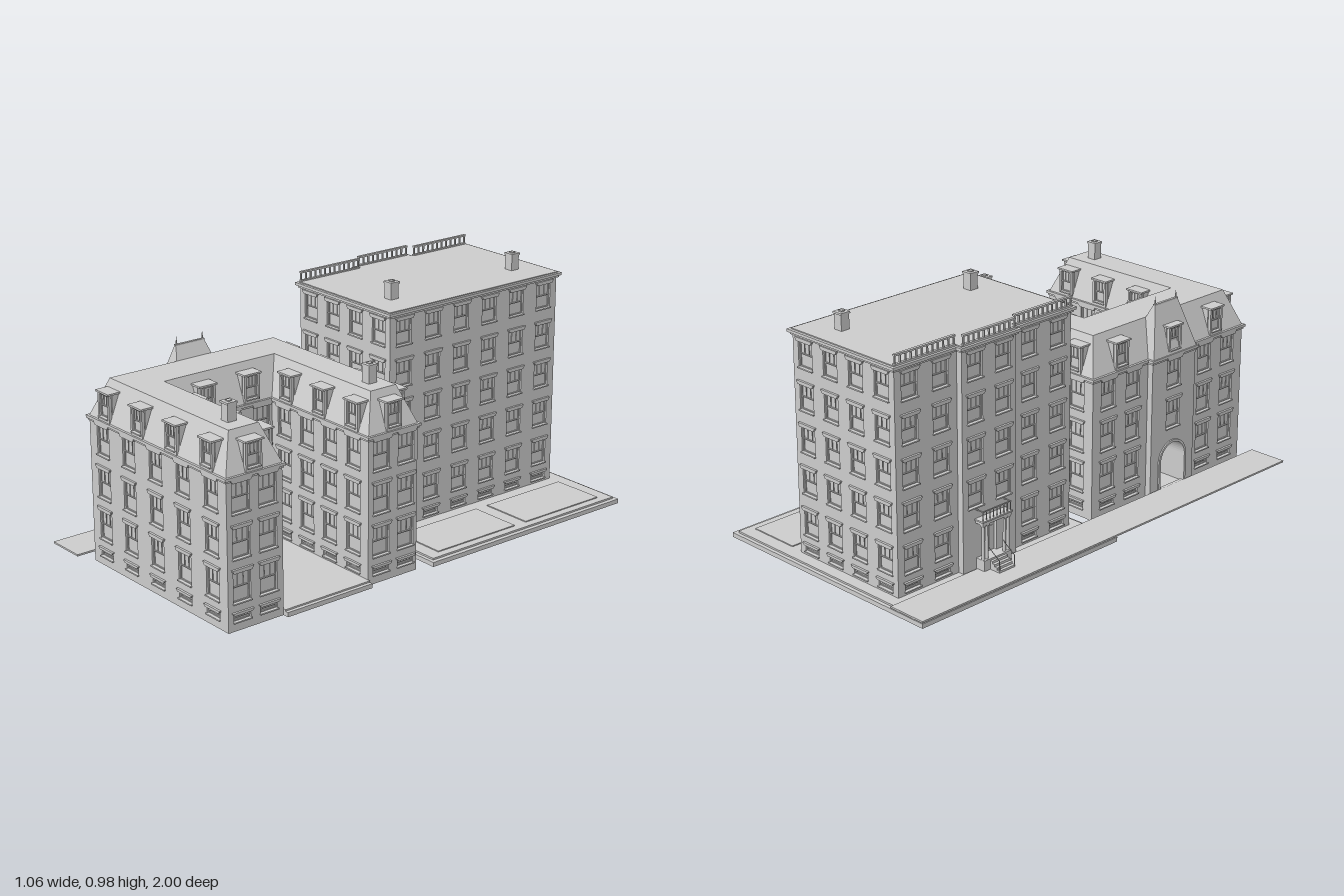
import * as THREE from 'three';
import { mergeGeometries } from 'three/addons/utils/BufferGeometryUtils.js';

const material = new THREE.MeshStandardMaterial({ color: 0xcccccc, side: THREE.DoubleSide });
const T = 0.012; // wall thickness, also the depth of window recesses

function add(parent, name, geometry) {
  const mesh = new THREE.Mesh(geometry, material);
  mesh.name = name;
  parent.add(mesh);
  return mesh;
}
const boxGeo = (x0, x1, y0, y1, z0, z1) =>
  new THREE.BoxGeometry(x1 - x0, y1 - y0, z1 - z0).translate((x0 + x1) / 2, (y0 + y1) / 2, (z0 + z1) / 2);
const box = (parent, name, ...b) => add(parent, name, boxGeo(...b));
const extrude = (shape, depth) =>
  new THREE.ExtrudeGeometry(shape, { depth, bevelEnabled: false, curveSegments: 12 });
const polygon = pts => new THREE.Shape(pts.map(p => new THREE.Vector2(...p)));
const rect = (x0, x1, y0, y1) => [[x0, y0], [x1, y0], [x1, y1], [x0, y1]];

// Plan loops are lists of [x, z]; the outside lies at (-dz, dx) of each edge.
function offset(loop, d) {
  const normal = i => {
    const [a, b] = [loop[i], loop[(i + 1) % loop.length]];
    return [-Math.sign(b[1] - a[1]), Math.sign(b[0] - a[0])];
  };
  return loop.map(([x, z], i) => {
    const n = normal((i + loop.length - 1) % loop.length), m = normal(i);
    return [x + d * (n[0] + m[0]), z + d * (n[1] + m[1])];
  });
}
const slab = (parent, name, loop, y0, y1) =>
  add(parent, name, extrude(polygon(loop.map(([x, z]) => [x, -z])), y1 - y0).rotateX(-Math.PI / 2).translate(0, y0, 0));

// Sloping roof sides between two plan loops
function slopes(parent, name, low, y0, high, y1) {
  const v = [];
  low.forEach((a, i) => {
    const j = (i + 1) % low.length, b = low[j], c = high[j], d = high[i];
    v.push(a[0], y0, a[1], b[0], y0, b[1], c[0], y1, c[1], a[0], y0, a[1], c[0], y1, c[1], d[0], y1, d[1]);
  });
  const g = new THREE.BufferGeometry();
  g.setAttribute('position', new THREE.Float32BufferAttribute(v, 3));
  g.computeVertexNormals();
  add(parent, name, g);
}

// Sash window with sill and flared lintel; origin at the bottom centre of its opening
const windowCache = {};
function windowGeo(w, h, lintel = true) {
  const key = [w, h, lintel].join();
  if (windowCache[key]) return windowCache[key];
  const s = w / 2, f = 0.004, m = h * 0.5;
  const parts = [
    boxGeo(-s, s, 0, h, -T - 0.002, -T + 0.001),
    boxGeo(-s, -s + f, 0, h, -T, -T + 0.005), boxGeo(s - f, s, 0, h, -T, -T + 0.005),
    boxGeo(-s, s, 0, f, -T, -T + 0.005), boxGeo(-s, s, h - f, h, -T, -T + 0.005),
    boxGeo(-s, s, m - 0.002, m + 0.002, -T, -T + 0.006),
    ...[-1, 1].map(k => boxGeo(k * s / 3 - 0.001, k * s / 3 + 0.001, m, h, -T, -T + 0.004)),
    boxGeo(-s - 0.003, s + 0.003, -0.005, 0, -T, 0.007),
  ].map(g => g.toNonIndexed());
  if (lintel) {
    const k = Math.min(0.014, h * 0.4);
    parts.push(extrude(polygon([[-s - 0.001, h], [s + 0.001, h], [s + 0.008, h + k * 0.7], [s + 0.008, h + k],
      [-s - 0.008, h + k], [-s - 0.008, h + k * 0.7]]), 0.009));
  }
  return (windowCache[key] = mergeGeometries(parts));
}

// Group whose x runs along an edge and whose z points outward
function edgeFrame(parent, name, a, b) {
  const g = new THREE.Group();
  g.name = name;
  g.position.set(a[0], 0, a[1]);
  g.rotation.y = Math.atan2(a[1] - b[1], b[0] - a[0]);
  parent.add(g);
  return g;
}
function archPath(c, w, y0, top, Type) {
  const p = new Type(), r = w / 2;
  p.moveTo(c - r, y0);
  p.lineTo(c + r, y0);
  p.lineTo(c + r, top - r);
  p.absarc(c, top - r, r, 0, Math.PI, false);
  p.lineTo(c - r, y0);
  return p;
}
function archRing(c, w, y0, top, t, depth) {
  const s = archPath(c, w + 2 * t, y0, top + t, THREE.Shape);
  s.holes.push(archPath(c, w, y0 + 0.001, top, THREE.Path));
  return extrude(s, depth);
}

// Walls around a loop; edges[i] = { cols, arch | door } and rows = [[bottom, height], ...]
function walls(parent, loop, edges, rows, y0, y1, w) {
  loop.forEach((a, i) => {
    const b = loop[(i + 1) % loop.length], len = Math.hypot(b[0] - a[0], b[1] - a[1]);
    const { cols = [], arch, door } = edges[i] || {}, open = arch || door;
    const g = edgeFrame(parent, 'facade', a, b);
    const shape = polygon(rect(0, len, y0, y1));
    for (const c of cols) for (const [y, h] of rows) {
      if (open && y < open.top && Math.abs(c - open.c) < open.w / 2 + 0.05) continue;
      shape.holes.push(new THREE.Path(polygon(rect(c - w / 2, c + w / 2, y, y + h)).getPoints()));
      add(g, 'window', windowGeo(w, h)).position.set(c, y, 0);
    }
    if (arch) {
      shape.holes.push(archPath(arch.c, arch.w, 0.025, arch.top, THREE.Path));
      add(g, 'archTrim', archRing(arch.c, arch.w, 0.025, arch.top, 0.01, 0.006));
    }
    if (door) {
      const [l, r] = [door.c - door.w / 2, door.c + door.w / 2];
      shape.holes.push(new THREE.Path(polygon(rect(l, r, 0.07, door.top)).getPoints()));
      box(g, 'door', l, r, 0.07, door.top, -T - 0.004, -T);
      for (const s of [-1, 1])
        box(g, 'doorPanel', door.c + s * 0.014 - 0.01, door.c + s * 0.014 + 0.01, 0.08, door.top - 0.03, -T, -T + 0.003);
    }
    add(g, 'wall', extrude(shape, T).translate(0, 0, -T));
  });
}

function dormer(parent, a, b, t) {
  const g = edgeFrame(parent, 'dormer', a, b), w = 0.052;
  const face = polygon(rect(t - 0.036, t + 0.036, 0.585, 0.694));
  face.holes.push(new THREE.Path(polygon(rect(t - w / 2, t + w / 2, 0.602, 0.688)).getPoints()));
  add(g, 'dormerFace', extrude(face, T).translate(0, 0, -T + 0.003));
  add(g, 'dormerWindow', windowGeo(w, 0.086, false)).position.set(t, 0.602, 0.003);
  box(g, 'dormerBody', t - 0.036, t + 0.036, 0.585, 0.694, -0.055, -T);
  box(g, 'dormerRoof', t - 0.041, t + 0.041, 0.694, 0.701, -0.055, 0.009);
}

function chimney(parent, x, z, y0, y1) {
  const r = 0.019;
  box(parent, 'chimney', x - r, x + r, y0, y1, z - r, z + r);
  box(parent, 'chimneyCap', x - r - 0.003, x + r + 0.003, y1 - 0.008, y1, z - r - 0.003, z + r + 0.003);
  box(parent, 'chimneyPot', x - 0.009, x + 0.009, y1, y1 + 0.004, z - 0.009, z + 0.009);
}

// U-shaped house with a mansard roof and an arched passage to its courtyard
function courtHouse() {
  const g = new THREE.Group();
  g.name = 'courtHouse';
  const u = [[-0.335, 0.94], [0.505, 0.94], [0.505, 0.695], [-0.06, 0.695], [-0.06, 0.3], [0.505, 0.3], [0.505, 0.065], [-0.335, 0.065]];
  const pavilion = [[-0.335, 0.375], [-0.36, 0.375], [-0.36, 0.625], [-0.335, 0.625]];
  const loop = [...u, ...pavilion];
  const long = [0.085, 0.25, 0.418, 0.584, 0.752], end = [0.062, 0.18], inner = [0.085, 0.22, 0.355, 0.49];
  const side = { cols: [0.085, 0.225] };
  walls(g, loop, [{ cols: long }, { cols: end }, { cols: inner },
    { cols: [0.045, 0.195, 0.345], arch: { c: 0.195, w: 0.14, top: 0.21 } },
    { cols: inner.map(c => 0.565 - c) }, { cols: end }, { cols: long.map(c => 0.84 - c) }, side, null,
    { cols: [0.125], arch: { c: 0.125, w: 0.14, top: 0.21 } }, null, side],
  [[0.037, 0.026], [0.108, 0.115], [0.275, 0.115], [0.445, 0.115]], 0, 0.58, 0.076);
  add(g, 'passage', archRing(0.5, 0.14, 0.02, 0.21, 0.004, 0.297).rotateY(-Math.PI / 2)).position.x = -0.0615;
  box(g, 'base', -0.335, 0.505, 0, 0.012, 0.065, 0.94);
  box(g, 'courtyard', -0.07, 0.53, 0, 0.018, 0.3, 0.695);
  box(g, 'courtyardPaving', -0.07, 0.515, 0.018, 0.024, 0.3, 0.695);
  slab(g, 'corniceBand', offset(loop, 0.005), 0.566, 0.574);
  slab(g, 'cornice', offset(loop, 0.01), 0.574, 0.585);

  // Mansard roof, dormers and chimneys
  const top = offset(u, -0.057);
  slopes(g, 'mansard', u, 0.585, top, 0.73);
  slab(g, 'roofTop', top, 0.725, 0.731);
  const dormers = [[0.1, 0.31, 0.52, 0.73], [0.12], [0.095, 0.285, 0.48], [0.095, 0.3], [0.085, 0.28, 0.47], [0.12],
    [0.11, 0.32, 0.53, 0.74], [0.16, 0.71]];
  dormers.forEach((list, i) => list.forEach(t => dormer(g, u[i], u[(i + 1) % 8], t)));
  for (const z of [0.18, 0.82]) chimney(g, 0.367, z, 0.72, 0.803);

  // Pavilion roof over the passage
  slopes(g, 'pavilionRoof', [[-0.365, 0.375], [-0.365, 0.625], [-0.21, 0.625], [-0.21, 0.375]], 0.585,
    [[-0.312, 0.435], [-0.312, 0.565], [-0.303, 0.565], [-0.303, 0.435]], 0.783);
  box(g, 'pavilionRidge', -0.313, -0.302, 0.78, 0.786, 0.433, 0.567);
  dormer(g, pavilion[1], pavilion[2], 0.125);
  for (const z of [0.44, 0.56]) add(g, 'finial', new THREE.ConeGeometry(0.004, 0.035, 8)).position.set(-0.307, 0.802, z);
  return g;
}

// Tall flat-roofed house with a projecting centre, balustrade and porch
function tallHouse() {
  const g = new THREE.Group();
  g.name = 'tallHouse';
  const loop = [[-0.335, -0.06], [0.203, -0.06], [0.203, -0.935], [-0.335, -0.935], [-0.335, -0.64], [-0.36, -0.64], [-0.36, -0.37], [-0.335, -0.37]];
  const short = [0.066, 0.201, 0.337, 0.472];
  const rows = [[0.04, 0.026], ...[0.108, 0.275, 0.44, 0.605, 0.77].map(y => [y, 0.1])];
  walls(g, loop, [{ cols: short }, { cols: [0, 1, 2, 3, 4, 5].map(i => 0.07 + i * 0.147) }, { cols: short },
    { cols: [0.07, 0.217] }, null, { cols: [0.065, 0.205], door: { c: 0.135, w: 0.065, top: 0.2 } }, null,
    { cols: [0.093, 0.24] }], rows, 0, 0.89, 0.074);
  slab(g, 'corniceBand', offset(loop, 0.007), 0.886, 0.895);
  slab(g, 'cornice', offset(loop, 0.015), 0.895, 0.906);
  slab(g, 'roof', offset(loop, 0.004), 0.906, 0.91);
  for (const z of [-0.185, -0.82]) chimney(g, 0.066, z, 0.9, 0.978);

  // Balustrade in three runs
  for (const [x, z0, z1] of [[-0.336, -0.935, -0.65], [-0.36, -0.635, -0.375], [-0.336, -0.36, -0.06]]) {
    box(g, 'balustradeRail', x - 0.006, x + 0.006, 0.943, 0.95, z0, z1);
    box(g, 'balustradeFoot', x - 0.006, x + 0.006, 0.909, 0.915, z0, z1);
    const n = Math.round((z1 - z0) / 0.026);
    for (let i = 0; i <= n; i++) {
      const z = z0 + 0.004 + (z1 - z0 - 0.008) * i / n;
      box(g, 'baluster', x - 0.003, x + 0.003, 0.915, 0.943, z - 0.003, z + 0.003);
    }
  }

  // Entrance porch, steps and handrails
  const zc = -0.505;
  box(g, 'porchFloor', -0.402, -0.355, 0, 0.07, zc - 0.07, zc + 0.07);
  box(g, 'porchRoof', -0.398, -0.355, 0.21, 0.222, zc - 0.072, zc + 0.072);
  box(g, 'porchCornice', -0.403, -0.355, 0.222, 0.228, zc - 0.077, zc + 0.077);
  box(g, 'balconyRail', -0.398, -0.394, 0.262, 0.266, zc - 0.07, zc + 0.07);
  for (let i = 0; i < 9; i++) {
    const z = zc - 0.07 + i * 0.0175;
    box(g, 'balconyPost', -0.398, -0.395, 0.228, 0.264, z - 0.0015, z + 0.0015);
  }
  for (let i = 0; i < 4; i++) box(g, 'step', -0.45 + i * 0.0125, -0.4, 0.02, 0.036 + i * 0.009, zc - 0.04, zc + 0.04);
  for (const s of [-1, 1]) {
    for (const d of [0.045, 0.063]) {
      add(g, 'porchColumn', new THREE.CylinderGeometry(0.0055, 0.0065, 0.14, 12)).position.set(-0.389, 0.14, zc + s * d);
      box(g, 'columnCapital', -0.397, -0.381, 0.203, 0.21, zc + s * d - 0.008, zc + s * d + 0.008);
    }
    box(g, 'balconySideRail', -0.398, -0.36, 0.262, 0.266, zc + s * 0.07 - 0.002, zc + s * 0.07 + 0.002);
    const z = zc + s * 0.038;
    const rail = new THREE.LineCurve3(new THREE.Vector3(-0.448, 0.075, z), new THREE.Vector3(-0.39, 0.115, z));
    add(g, 'handrail', new THREE.TubeGeometry(rail, 1, 0.0016, 6));
    box(g, 'handrailPost', -0.45, -0.447, 0.03, 0.076, z - 0.0015, z + 0.0015);
  }
  return g;
}

export function createModel() {
  const model = new THREE.Group();
  model.name = 'twoTownHouses';
  box(model, 'sidewalk', -0.53, -0.365, 0.021, 0.028, -1, 1);
  box(model, 'yard', -0.53, 0.53, 0, 0.018, -1, 0);
  box(model, 'yardPaving', -0.365, 0.512, 0.018, 0.025, -0.985, -0.015);
  for (const [z0, z1] of [[-0.93, -0.53], [-0.47, -0.07]]) box(model, 'lawn', 0.26, 0.48, 0.02, 0.029, z0, z1);
  model.add(courtHouse(), tallHouse());
  return model;
}
